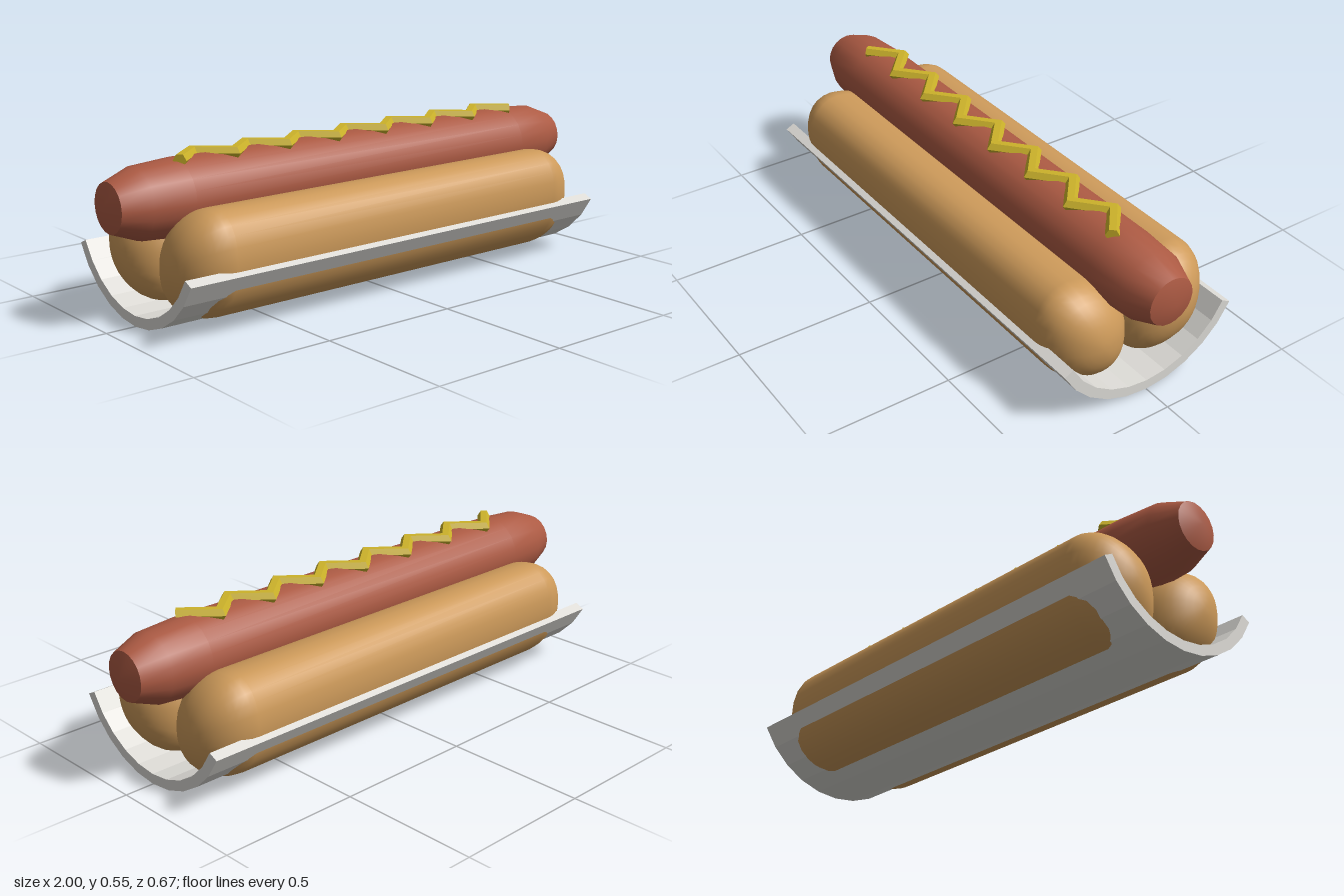
import * as THREE from 'three';
import { mergeVertices, toCreasedNormals } from 'three/addons/utils/BufferGeometryUtils.js';

const material = (name, color) => {
  const m = new THREE.MeshStandardMaterial({ color });
  m.name = name;
  return m;
};

// Capsule along x, its round section reshaped into a plump, leaning oval
function bunGeometry() {
  let geo = new THREE.CapsuleGeometry(1, 2, 10, 28).rotateZ(-Math.PI / 2);
  geo.deleteAttribute('uv');
  geo.deleteAttribute('normal');
  const pos = geo.attributes.position;
  const squarish = (v) => Math.sign(v) * Math.abs(v) ** (2 / 2.25);
  for (let i = 0; i < pos.count; i++) {
    const x = pos.getX(i), y = pos.getY(i), z = pos.getZ(i);
    const r = Math.hypot(y, z), t = Math.atan2(y, z);
    const c = r * squarish(Math.cos(t)), s = r * squarish(Math.sin(t));
    pos.setXYZ(i,
      Math.sign(x) * (0.71 + 0.155 * (Math.abs(x) - 1)),
      0.2125 + 0.182 * s + 0.035 * c,
      0.155 + 0.162 * c);
  }
  geo = mergeVertices(geo, 1e-4);
  geo.computeVertexNormals();
  return geo;
}

// Lathe along x with blunt, slightly pointed ends
function sausageGeometry() {
  const end = [[0, 1], [0.084, 0.975], [0.12, 0.88], [0.13, 0.73]];
  const profile = [
    ...end.map(([r, x]) => new THREE.Vector2(r, -x)),
    ...end.slice().reverse().map(([r, x]) => new THREE.Vector2(r, x)),
  ];
  const geo = new THREE.LatheGeometry(profile, 20).rotateZ(-Math.PI / 2);
  return toCreasedNormals(geo, 0.6);
}

// Curved tray: a thick arc extruded along x
function trayGeometry() {
  const R = 0.374, inner = 0.338, half = 1.11, n = 10;
  const arc = (r) => Array.from({ length: n + 1 }, (_, i) => {
    const a = -half + (2 * half * i) / n;
    return new THREE.Vector2(r * Math.sin(a), R - r * Math.cos(a));
  });
  const shape = new THREE.Shape([...arc(R), ...arc(inner).reverse()]);
  return new THREE.ExtrudeGeometry(shape, { depth: 1.79, bevelEnabled: false })
    .translate(0, 0, -0.895).rotateY(Math.PI / 2);
}

// Six-sided bead swept along a mitred zigzag
function mustardGeometry() {
  const count = 15, step = 0.1055, amp = 0.045, radius = 0.023;
  const slope = Math.atan2(2 * amp, step);
  const points = [], index = [];
  for (let i = 0; i < count; i++) {
    const side = i % 2 ? -1 : 1;
    const isEnd = i === 0 || i === count - 1;
    const lean = isEnd ? (i === 0 ? slope : -slope) : 0;
    const width = isEnd ? radius : radius / Math.cos(slope);
    for (let k = 0; k < 6; k++) {
      const a = (k * Math.PI) / 3, w = width * Math.cos(a);
      points.push(
        (i - (count - 1) / 2) * step + w * Math.sin(lean),
        0.528 + radius * Math.sin(a),
        side * amp + w * Math.cos(lean));
      if (i < count - 1) {
        const p = i * 6 + k, q = i * 6 + ((k + 1) % 6);
        index.push(p, p + 6, q, q, p + 6, q + 6);
      }
    }
  }
  // End caps
  const last = (count - 1) * 6;
  for (let k = 1; k < 5; k++) {
    index.push(0, k, k + 1);
    index.push(last, last + k + 1, last + k);
  }
  const geo = new THREE.BufferGeometry();
  geo.setAttribute('position', new THREE.Float32BufferAttribute(points, 3));
  geo.setIndex(index);
  const flat = geo.toNonIndexed();
  flat.computeVertexNormals();
  return flat;
}

export function createModel() {
  const bread = material('bread', 0xcd9a5a);
  const meat = material('sausage', 0xac5a43);
  const yellow = material('mustard', 0xcbb22a);
  const paper = material('paper', 0xdddbd6);
  yellow.side = THREE.DoubleSide;

  const model = new THREE.Group();
  model.name = 'hotDog';
  const add = (name, geo, mat) => {
    const mesh = new THREE.Mesh(geo, mat);
    mesh.name = name;
    model.add(mesh);
    return mesh;
  };

  add('paperTray', trayGeometry(), paper);
  const bun = bunGeometry();
  add('frontBun', bun, bread);
  add('backBun', bun, bread).rotation.y = Math.PI;
  add('sausage', sausageGeometry().translate(0, 0.402, 0), meat);
  add('mustard', mustardGeometry(), yellow);
  return model;
}
